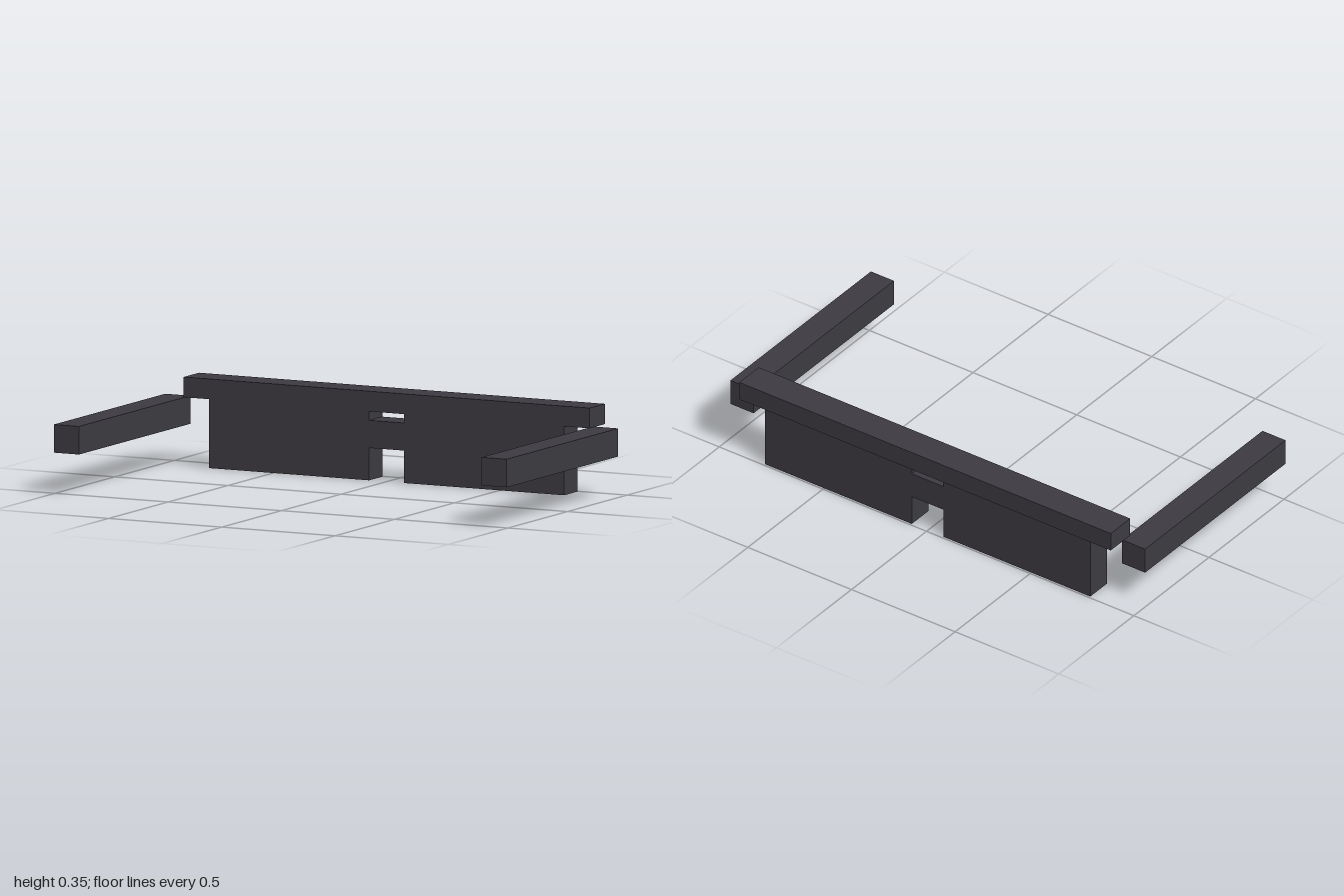
import * as THREE from 'three';

export function createModel() {
  const group = new THREE.Group();
  const charcoal = new THREE.MeshStandardMaterial({ color: 0x3d3b41 });
  charcoal.name = 'charcoal';

  // Box given by its minimum and maximum corners
  function box(name, [x0, y0, z0], [x1, y1, z1]) {
    const mesh = new THREE.Mesh(new THREE.BoxGeometry(x1 - x0, y1 - y0, z1 - z0), charcoal);
    mesh.position.set((x0 + x1) / 2, (y0 + y1) / 2, (z0 + z1) / 2);
    mesh.name = name;
    group.add(mesh);
  }

  // Long cap along the back
  box('topRail', [-0.896, 0.272, -0.51], [0.896, 0.352, -0.381]);

  // Back wall as one outline: a notch below and a slot above the middle bridge
  const w = 0.784, n = 0.077, top = 0.272, back = -0.492, front = -0.381;
  const outline = [
    [-w, 0], [-n, 0], [-n, 0.128], [n, 0.128], [n, 0], [w, 0],
    [w, top], [n, top], [n, 0.237], [-n, 0.237], [-n, top], [-w, top],
  ];
  const shape = new THREE.Shape(outline.map(([x, y]) => new THREE.Vector2(x, y)));
  const wall = new THREE.Mesh(
    new THREE.ExtrudeGeometry(shape, { depth: front - back, bevelEnabled: false }), charcoal);
  wall.position.z = back;
  wall.name = 'backWall';
  group.add(wall);

  // Side arms reaching forward
  box('leftArm', [0.889, 0.162, -0.425], [1, 0.273, 0.51]);
  box('rightArm', [-1, 0.162, -0.425], [-0.889, 0.273, 0.51]);

  return group;
}
